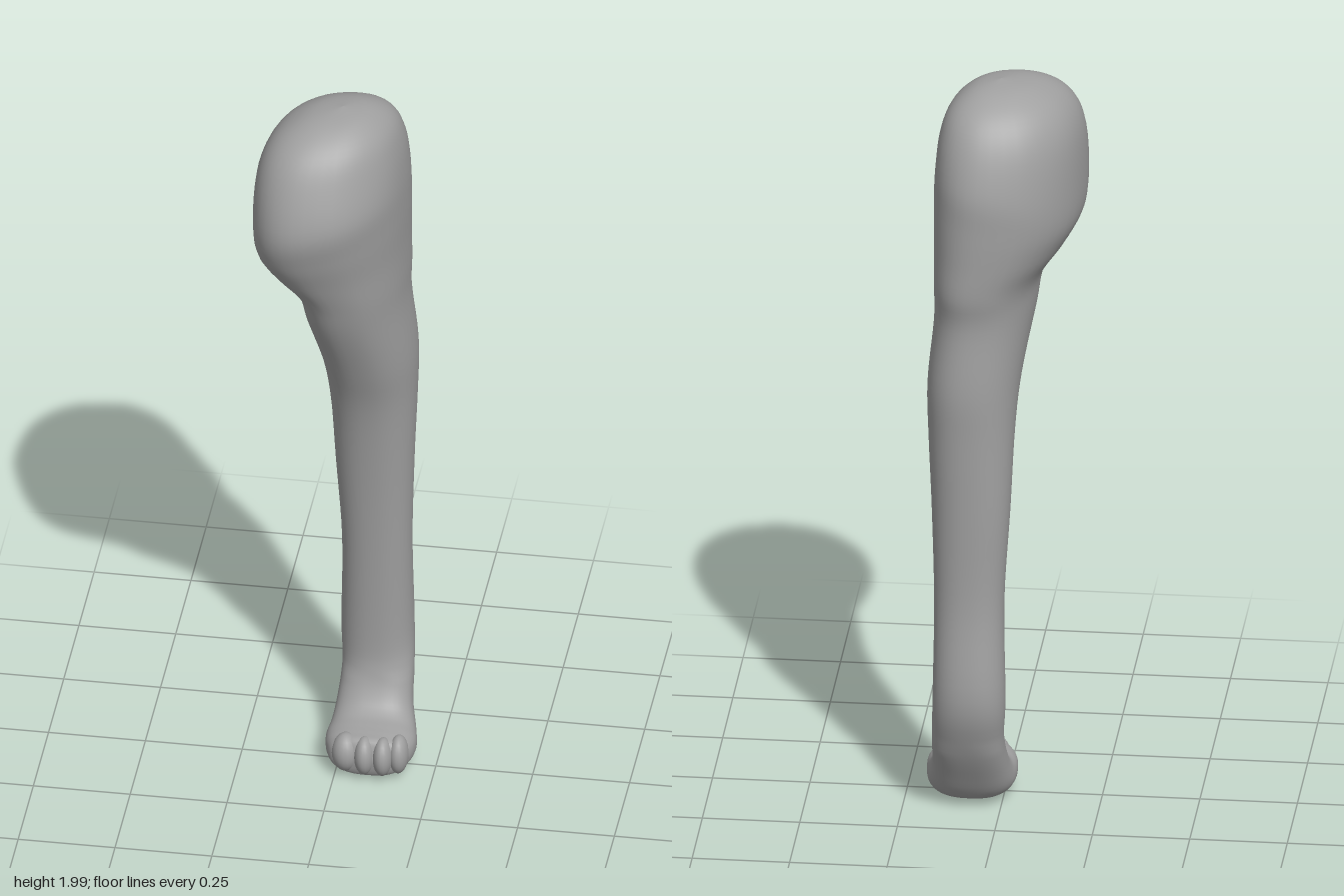
import * as THREE from 'three';

const SIDES = 40, STEPS = 5;

// Level sections of thigh and shin: y, back z, front z, x min, x max
const LEG = [
  [2.00, 0.00, 0.00, 0.01, 0.01],
  [1.985, -0.08, 0.09, -0.08, 0.08],
  [1.94, -0.155, 0.165, -0.155, 0.135],
  [1.865, -0.205, 0.215, -0.195, 0.16],
  [1.75, -0.238, 0.253, -0.205, 0.17],
  [1.65, -0.242, 0.232, -0.195, 0.172],
  [1.56, -0.242, 0.196, -0.155, 0.17],
  [1.475, -0.24, 0.16, -0.10, 0.17],
  [1.38, -0.226, 0.125, -0.082, 0.17],
  [1.21, -0.236, 0.052, -0.05, 0.185],
  [1.06, -0.23, 0.00, -0.036, 0.182],
  [0.85, -0.226, -0.035, -0.027, 0.173],
  [0.60, -0.226, -0.06, -0.013, 0.166],
];

// Slanted sections of ankle and foot: back y, front y, back z, front z, x min, x max
const FOOT = [
  [0.36, 0.32, -0.25, -0.077, -0.018, 0.168],
  [0.22, 0.225, -0.215, -0.068, -0.012, 0.172],
  [0.11, 0.165, -0.16, -0.04, -0.018, 0.175],
  [0.03, 0.138, -0.105, -0.008, -0.026, 0.19],
  [0.008, 0.13, -0.025, 0.025, -0.033, 0.20],
  [0.01, 0.126, 0.045, 0.055, -0.025, 0.192],
  [0.018, 0.118, 0.085, 0.085, 0, 0.168],
  [0.065, 0.075, 0.10, 0.10, 0.075, 0.095],
];

// Smooth blend through the section values
function blend(sections, i, f) {
  const at = k => sections[Math.min(Math.max(k, 0), sections.length - 1)];
  const [a, b, c, d] = [at(i - 1), at(i), at(i + 1), at(i + 2)];
  return b.map((v, k) => v + 0.5 * f * (c[k] - a[k] + f * (2 * a[k] - 5 * v + 4 * c[k] - d[k]
    + f * (3 * (v - c[k]) + d[k] - a[k]))));
}

const power = (v, e) => Math.sign(v) * Math.pow(Math.abs(v), e);

function limbGeometry() {
  const sections = [...LEG.map(([y, ...rest]) => [y, y, ...rest]), ...FOOT];
  const positions = [], index = [];
  const rows = (sections.length - 1) * STEPS;
  for (let r = 0; r <= rows; r++) {
    const [by, fy, bz, fz, x0, x1] = blend(sections, Math.floor(r / STEPS), (r % STEPS) / STEPS);
    // The thigh is turned outwards and its widest part slopes; the foot is squarer
    const skew = -0.3 * THREE.MathUtils.smoothstep(by, 0.8, 1.6);
    const tilt = 0.2 * Math.exp(-(((by - 1.7) / 0.13) ** 2));
    const square = by < 0.2 ? 0.8 : 0.9;
    for (let j = 0; j < SIDES; j++) {
      const t = j / SIDES * Math.PI * 2;
      const dx = (x1 - x0) / 2 * power(Math.cos(t), square);
      const s = (1 + power(Math.sin(t + skew), square)) / 2;
      positions.push((x0 + x1) / 2 + dx, by + (fy - by) * s + tilt * dx, bz + (fz - bz) * s);
      if (r < rows) {
        const a = r * SIDES + j, b = r * SIDES + (j + 1) % SIDES;
        index.push(a, b, a + SIDES, b, b + SIDES, a + SIDES);
      }
    }
  }
  const geometry = new THREE.BufferGeometry();
  geometry.setAttribute('position', new THREE.Float32BufferAttribute(positions, 3));
  geometry.setIndex(index);
  geometry.computeVertexNormals();
  return geometry;
}

export function createModel() {
  const model = new THREE.Group();
  model.name = 'leg';
  const skin = new THREE.MeshStandardMaterial({ color: 0xa0a0a0 });
  skin.name = 'grey skin';

  // Thigh, shin and foot in one skin
  const limb = new THREE.Mesh(limbGeometry(), skin);
  limb.name = 'limb';
  model.add(limb);

  // Rounded toes with grooves between them: x, half width, z
  const toeShape = new THREE.SphereGeometry(1, 20, 14);
  [[0.028, 0.036, 0.068], [0.078, 0.027, 0.078], [0.125, 0.026, 0.078], [0.163, 0.026, 0.06]].forEach(([x, width, z], i) => {
    const toe = new THREE.Mesh(toeShape, skin);
    toe.name = `toe${i + 1}`;
    toe.position.set(x, 0.074, z);
    toe.scale.set(width, 0.053, 0.042);
    model.add(toe);
  });
  return model;
}
